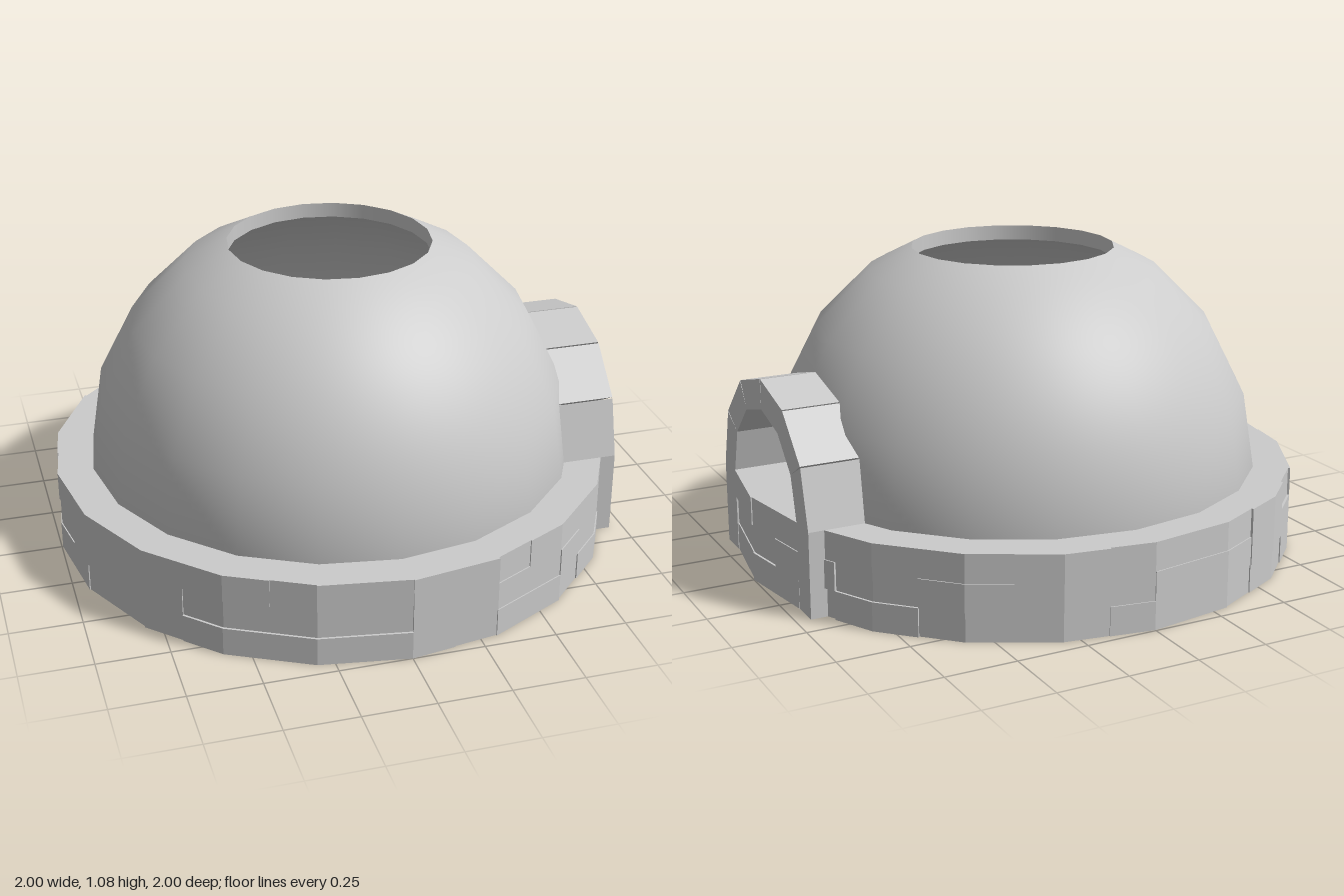
import * as THREE from 'three';

const SIDES = 20;
const STEP = (Math.PI * 2) / SIDES;
const BASE_H = 0.3;
const HOLE_R = 0.358;

const stone = new THREE.MeshStandardMaterial({ color: 0xcccccc, flatShading: true });
const plaster = new THREE.MeshStandardMaterial({ color: 0xcccccc, side: THREE.DoubleSide });

// Small seeded generator for the uneven stonework
function seeded(seed) {
  return () => {
    seed = (seed * 16807) % 2147483647;
    return seed / 2147483647;
  };
}

function add(parent, name, geometry, material) {
  const mesh = new THREE.Mesh(geometry, material);
  mesh.name = name;
  parent.add(mesh);
  return mesh;
}

// Point on a 20-sided ring; t counts sides and may be fractional
function ringPoint(r, t) {
  const i = Math.floor(t), f = t - i;
  const a = new THREE.Vector2(Math.cos(i * STEP), Math.sin(i * STEP));
  const b = new THREE.Vector2(Math.cos((i + 1) * STEP), Math.sin((i + 1) * STEP));
  return a.lerp(b, f).multiplyScalar(r);
}

// Faceted half sphere with a round top opening and a doorway facing +x
function domeShell(R, doorR) {
  const profile = [0, 1, 2, 3].map(k => new THREE.Vector2(R * Math.cos(k * STEP), R * Math.sin(k * STEP)));
  const next = new THREE.Vector2(R * Math.cos(4 * STEP), R * Math.sin(4 * STEP));
  const last = profile[3];
  profile.push(last.clone().lerp(next, (last.x - HOLE_R) / (last.x - next.x)));

  const N = 10, cols = SIDES * N, rows = 4 * N;
  const pos = [], nor = [], index = [];
  for (let j = 0; j <= rows; j++) {
    const k = Math.min(Math.floor(j / N), 3);
    const p = profile[k].clone().lerp(profile[k + 1], j / N - k);
    for (let i = 0; i <= cols; i++) {
      const q = ringPoint(p.x, i / N);
      const n = new THREE.Vector3(q.x, p.y, q.y).normalize();
      pos.push(q.x, p.y + BASE_H, q.y);
      nor.push(n.x, n.y, n.z);
    }
  }
  for (let j = 0; j < rows; j++) {
    for (let i = 0; i < cols; i++) {
      const a = j * (cols + 1) + i, b = a + 1, c = a + cols + 1, d = c + 1;
      const x = (pos[a * 3] + pos[d * 3]) / 2;
      const y = (pos[a * 3 + 1] + pos[d * 3 + 1]) / 2 - BASE_H;
      const z = (pos[a * 3 + 2] + pos[d * 3 + 2]) / 2;
      if (x > 0 && Math.hypot(y, z) < doorR) continue;
      index.push(a, c, b, b, c, d);
    }
  }
  const g = new THREE.BufferGeometry();
  g.setAttribute('position', new THREE.Float32BufferAttribute(pos, 3));
  g.setAttribute('normal', new THREE.Float32BufferAttribute(nor, 3));
  g.setIndex(index);
  return { geometry: g, topY: profile[4].y + BASE_H };
}

// One curved course stone between side positions t0 and t1
function courseStone(t0, t1, r, y, h) {
  const ts = [t0];
  for (let t = Math.floor(t0) + 1; t < t1; t++) ts.push(t);
  ts.push(t1);
  const outer = ts.map(t => ringPoint(r, t));
  const inner = ts.map(t => ringPoint(0.9, t)).reverse();
  const g = new THREE.ExtrudeGeometry(new THREE.Shape([...outer, ...inner]), { depth: h, bevelEnabled: false });
  return g.rotateX(-Math.PI / 2).translate(0, y, 0);
}

// Block of the doorway, drawn across z and y and extruded along x
function doorBlock(points) {
  const shape = new THREE.Shape(points.map(p => new THREE.Vector2(p[0], p[1])));
  const g = new THREE.ExtrudeGeometry(shape, { depth: 0.205, bevelEnabled: false });
  return g.rotateY(Math.PI / 2).translate(0.745, 0, 0);
}

export function createModel() {
  const model = new THREE.Group();
  model.name = 'domedOven';

  // Solid floor inside the stone courses
  const floor = new THREE.CylinderGeometry(0.9, 0.9, BASE_H, SIDES).translate(0, BASE_H / 2, 0);
  add(model, 'floor', floor, stone);

  // Three courses of uneven stones
  const base = new THREE.Group();
  base.name = 'stoneBase';
  model.add(base);
  const rand = seeded(77);
  for (let row = 0; row < 3; row++) {
    let t = 0;
    while (t < SIDES) {
      const end = Math.min(SIDES, t + [0.5, 1, 1, 1.5][Math.floor(rand() * 4)]);
      const r = 1 - Math.floor(rand() * 3) * 0.004;
      add(base, 'courseStone', courseStone(t, end, r, row * 0.1, 0.1), stone);
      t = end;
    }
  }

  // Thick dome wall with open top
  const outer = domeShell(0.868, 0.35);
  const inner = domeShell(0.82, 0.33);
  add(model, 'domeOuter', outer.geometry, plaster);
  add(model, 'domeInner', inner.geometry, plaster);
  const rimH = outer.topY - inner.topY;
  const rim = new THREE.CylinderGeometry(HOLE_R, HOLE_R, rimH, SIDES, 1, true);
  rim.translate(0, inner.topY + rimH / 2, 0);
  add(model, 'topRim', rim, plaster);

  // Doorway arch of six wedge stones on two legs
  const arch = new THREE.Group();
  arch.name = 'doorArch';
  model.add(arch);
  const at = (r, a) => [r * Math.cos(a), BASE_H + r * Math.sin(a)];
  const gap = 0.006;
  for (let i = 0; i < 6; i++) {
    const a0 = (i * Math.PI) / 6, a1 = a0 + Math.PI / 6;
    const g0 = i === 0 ? 0 : gap, g1 = i === 5 ? 0 : gap;
    add(arch, 'archStone', doorBlock([at(0.305, a0), at(0.41, a0 + g0), at(0.41, a1 - g1), at(0.305, a1)]), stone);
  }
  for (const s of [-1, 1]) {
    const leg = new THREE.BoxGeometry(0.205, BASE_H, 0.105);
    add(arch, 'archLeg', leg, stone).position.set(0.8475, BASE_H / 2, s * 0.3575);
  }

  return model;
}
